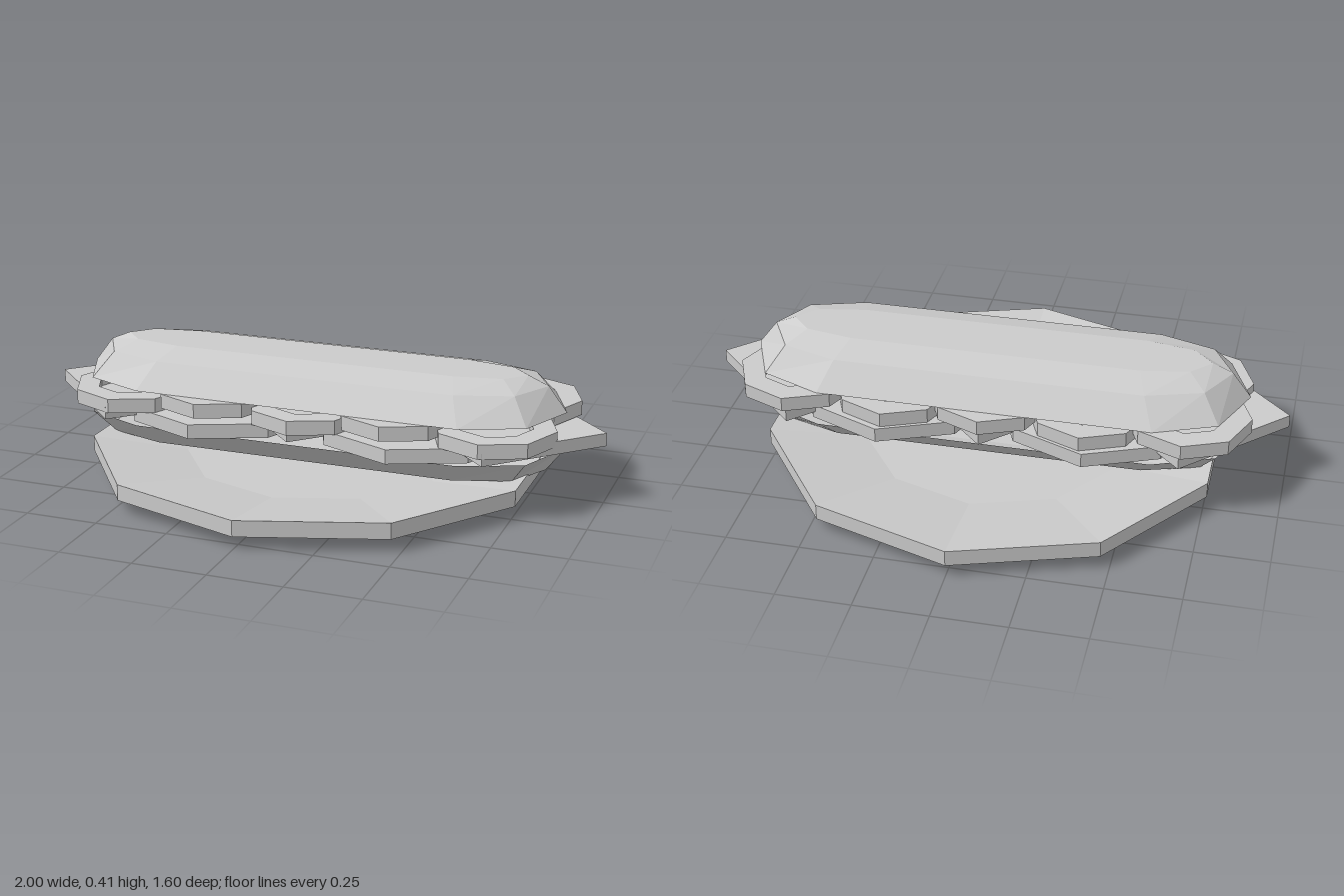
import * as THREE from 'three';

const material = new THREE.MeshStandardMaterial({
  color: 0xcccccc, flatShading: true, side: THREE.DoubleSide,
});

function addPart(parent, name, geometry, x = 0, y = 0, z = 0) {
  const mesh = new THREE.Mesh(geometry, material);
  mesh.name = name;
  mesh.position.set(x, y, z);
  parent.add(mesh);
  return mesh;
}

function lathe(profile, sides) {
  return new THREE.LatheGeometry(profile.map(p => new THREE.Vector2(...p)), sides);
}

// Long rounded outline: two faceted half ellipses joined by straight sides
function outline({ y, half, rx, rz }) {
  const points = [];
  for (const side of [1, -1]) {
    for (let i = -2; i <= 2; i++) {
      const a = (i * Math.PI) / 4;
      points.push([side * (half + rx * Math.cos(a)), y, side * rz * Math.sin(a)]);
    }
  }
  return points;
}

// Hollow shell through outlines listed from bottom to top, closed at the top
function loft(levels) {
  const rings = levels.map(outline);
  const n = rings[0].length;
  const top = rings.at(-1);
  const centre = [0, levels.at(-1).y, 0];
  const v = [];
  for (let i = 0; i < n; i++) {
    const j = (i + 1) % n;
    for (let k = 0; k < rings.length - 1; k++) {
      const a = rings[k], b = rings[k + 1];
      v.push(...a[i], ...b[i], ...a[j], ...b[i], ...b[j], ...a[j]);
    }
    v.push(...centre, ...top[j], ...top[i]);
  }
  const geometry = new THREE.BufferGeometry();
  geometry.setAttribute('position', new THREE.Float32BufferAttribute(v, 3));
  geometry.computeVertexNormals();
  return geometry;
}

export function createModel() {
  const group = new THREE.Group();
  group.name = 'sandwichOnPlate';

  // Ten-sided plate with a shallow dish and an open foot
  const plate = lathe([[0.47, 0], [0.8, 0.045], [0.8, 0.1], [0.47, 0.055], [0, 0.055]], 10);
  addPart(group, 'plate', plate);

  // Two equal bun halves, the lower one turned over
  const bun = loft([
    { y: 0, half: 0.57, rx: 0.295, rz: 0.29 },
    { y: 0.085, half: 0.53, rx: 0.27, rz: 0.205 },
    { y: 0.115, half: 0.5, rx: 0.23, rz: 0.1 },
  ]);
  addPart(group, 'topBun', bun, 0, 0.3, 0);
  addPart(group, 'bottomBun', bun, 0, 0.175, 0).rotation.x = Math.PI;

  // Large round slices at the bottom of the filling
  const meat = new THREE.CylinderGeometry(0.353, 0.353, 0.05, 8);
  for (const x of [-0.35, 0.35]) addPart(group, 'meatSlice', meat, x, 0.2, 0);

  // Square cheese slices turned corner-outward
  const cheese = new THREE.CylinderGeometry(0.333, 0.333, 0.045, 4);
  for (const x of [-0.667, 0, 0.667]) addPart(group, 'cheeseSlice', cheese, x, 0.2225, 0);

  // Two rows of open rings, overlapping in alternate heights
  const h = 0.025;
  const ring = lathe([[0.13, -h], [0.21, -h], [0.21, h], [0.13, h], [0.13, -h]], 8);
  for (let i = -2; i <= 2; i++) {
    const frontHigh = i % 2 !== 0;
    addPart(group, 'frontRing', ring, i * 0.327, frontHigh ? 0.275 : 0.25, frontHigh ? 0.143 : 0.128);
    addPart(group, 'backRing', ring, i * 0.337, frontHigh ? 0.25 : 0.275, frontHigh ? -0.125 : -0.14);
  }
  return group;
}
